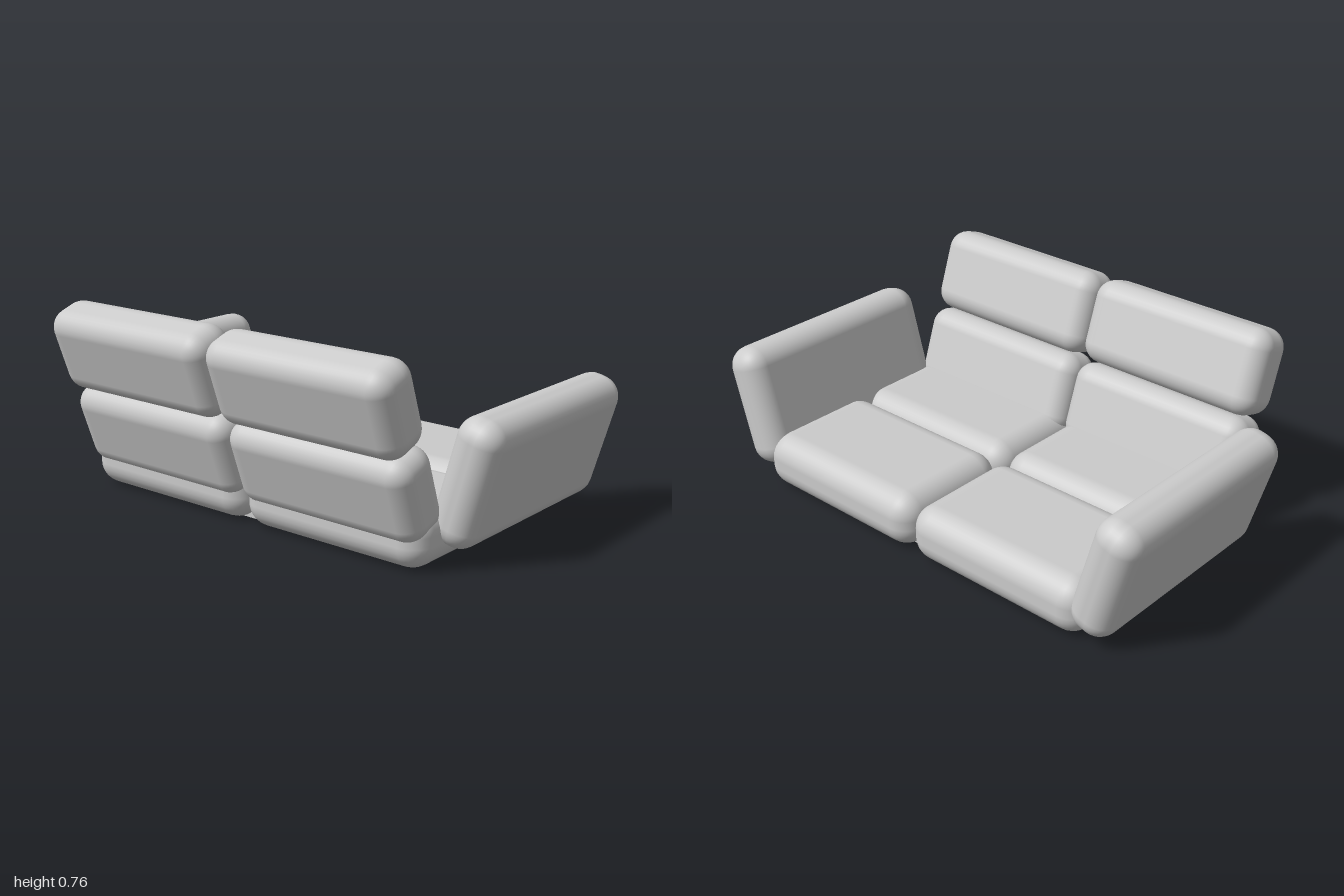
import * as THREE from 'three';
import { RoundedBoxGeometry } from 'three/addons/geometries/RoundedBoxGeometry.js';

const material = new THREE.MeshStandardMaterial({ color: 0xcccccc });

// Soft rounded cushion, placed by its centre
function cushion(name, size, radius, position, tiltX = 0, tiltZ = 0) {
  const mesh = new THREE.Mesh(new RoundedBoxGeometry(...size, 4, radius), material);
  mesh.name = name;
  mesh.position.set(...position);
  mesh.rotation.set(tiltX, 0, tiltZ);
  return mesh;
}

export function createModel() {
  const sofa = new THREE.Group();
  sofa.name = 'sofa';
  const backTilt = THREE.MathUtils.degToRad(19.5);
  const armTilt = THREE.MathUtils.degToRad(16);

  // The sofa faces +x; its two halves sit either side of z = 0
  for (const side of [1, -1]) {
    const label = side > 0 ? 'Near' : 'Far';
    const z = side * 0.397;

    // Seat: a rear and a front cushion
    sofa.add(cushion('rearSeat' + label, [0.516, 0.217, 0.8], 0.09, [-0.153, 0.1085, z]));
    sofa.add(cushion('frontSeat' + label, [0.516, 0.217, 0.8], 0.09, [0.352, 0.1085, z]));

    // Back: two leaning cushions, one above the other
    sofa.add(cushion('lowerBack' + label, [0.203, 0.334, 0.795], 0.075, [-0.372, 0.273, z], 0, backTilt));
    sofa.add(cushion('upperBack' + label, [0.203, 0.334, 0.795], 0.075, [-0.486, 0.59, z], 0, backTilt));

    // Arm, leaning outwards
    const armCentre = side > 0 ? [0.162, 0.301, 0.86] : [0.162, 0.284, -0.867];
    sofa.add(cushion('arm' + label, [0.903, 0.485, 0.18], 0.08, armCentre, side * armTilt));
  }

  // Flat base under the seat cushions
  const base = new THREE.Mesh(new THREE.BoxGeometry(0.836, 0.06, 1.41), material);
  base.name = 'base';
  base.position.set(0.1, 0.03, 0);
  sofa.add(base);

  return sofa;
}
